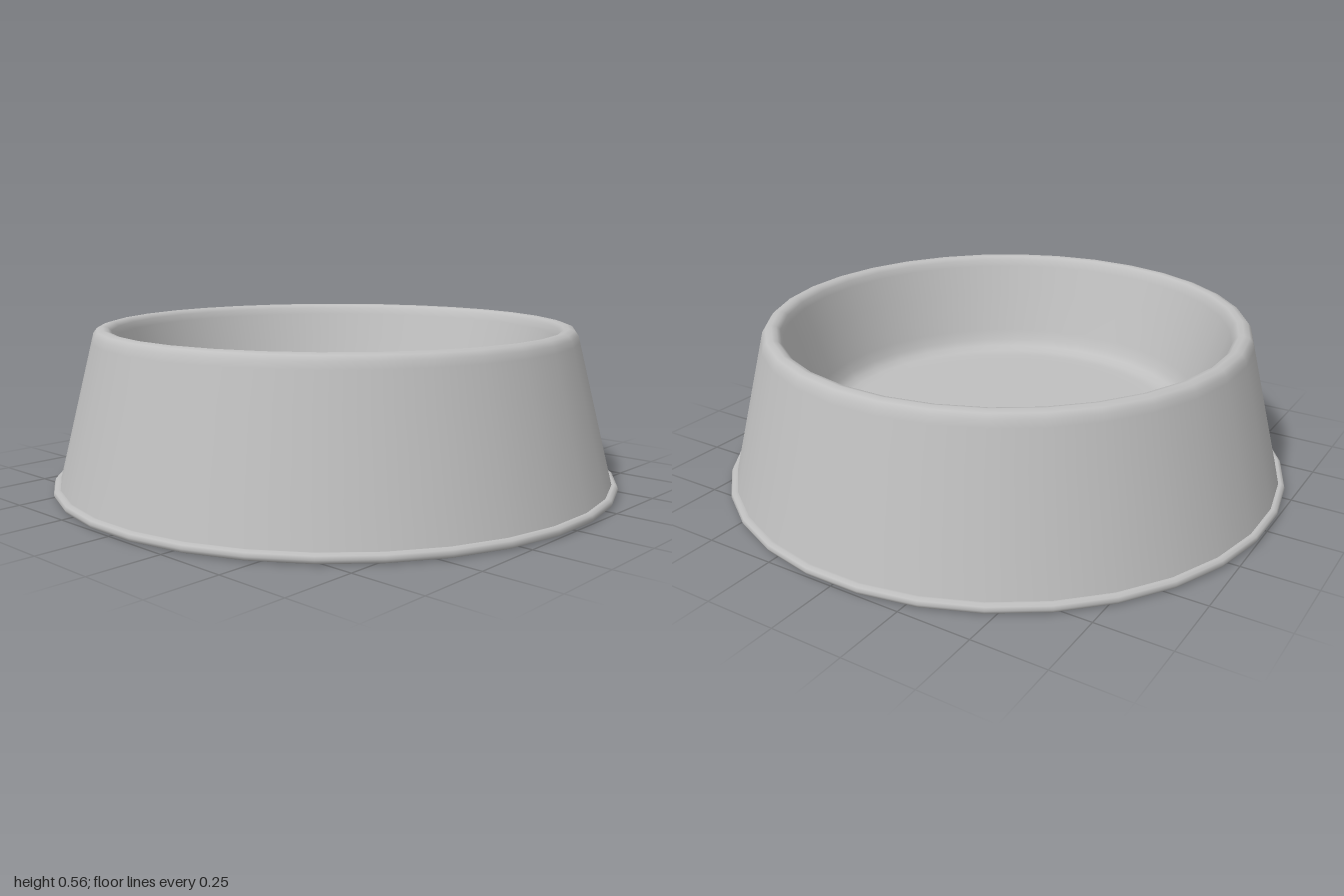
import * as THREE from 'three';

const SIDES = 32;
const R = 1 / Math.cos(Math.PI / SIDES); // flats, not corners, face the axes

// Revolve a list of [radius, height] pairs
function revolve(name, profile, material) {
  const points = profile.map(([r, y]) => new THREE.Vector2(r * R, y));
  const geometry = new THREE.LatheGeometry(points, SIDES, Math.PI / SIDES);
  const mesh = new THREE.Mesh(geometry, material);
  mesh.name = name;
  return mesh;
}

export function createModel() {
  const group = new THREE.Group();
  group.name = 'petBowl';
  const grey = new THREE.MeshStandardMaterial({ color: 0xbfbfbf, side: THREE.DoubleSide });
  grey.name = 'light grey';

  // Flared outer skirt, rounded lip, sloping inner wall and floor in one skin
  group.add(revolve('bowlShell', [
    [0.977, 0.03], [0.945, 0.155], [0.882, 0.405], [0.853, 0.52],
    [0.847, 0.543], [0.835, 0.559], [0.815, 0.565],
    [0.798, 0.561], [0.785, 0.549], [0.777, 0.525],
    [0.742, 0.42], [0.692, 0.27],
    [0.677, 0.232], [0.66, 0.21], [0.635, 0.196], [0.6, 0.192], [0.55, 0.192], [0, 0.192],
  ], grey));

  // Small rolled bead around the foot
  group.add(revolve('footBead', [
    [0.972, 0.03], [0.968, 0.015], [0.974, 0.004], [0.984, 0], [0.995, 0.005],
    [1, 0.016], [0.996, 0.027], [0.986, 0.033], [0.972, 0.03],
  ], grey));

  return group;
}
